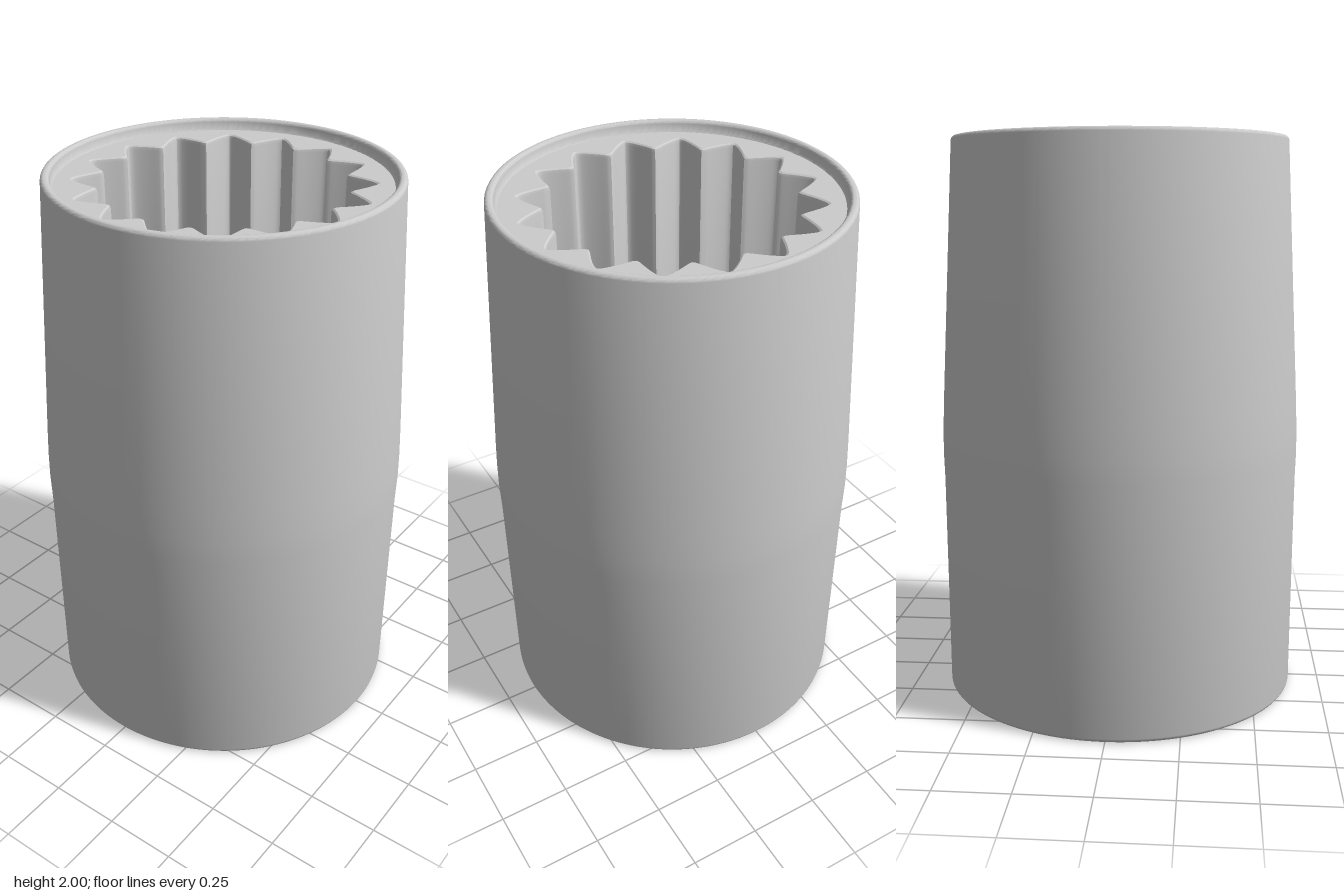
import * as THREE from 'three';
import { toCreasedNormals } from 'three/addons/utils/BufferGeometryUtils.js';

const N = 384; // samples around the axis (24 per spline tooth)
const TEETH = 16;

// cross-section radii as functions of the angle
const circle = (r) => () => r;
const spline = (grow = 0) => (a) => {
  const wave = Math.asin(0.95 * Math.cos(a * TEETH)) / Math.asin(0.95);
  return 0.457 + grow - 0.042 * wave;
};
const square = (half) => (a) => half / Math.max(Math.abs(Math.sin(a)), Math.abs(Math.cos(a)));

// skin a list of rings [radius function, height or height(radius)]
function loft(rings) {
  const pos = [], idx = [];
  for (const [radius, y] of rings) {
    for (let i = 0; i < N; i++) {
      const a = (i / N) * Math.PI * 2;
      const r = radius(a);
      pos.push(r * Math.sin(a), typeof y === 'function' ? y(r) : y, r * Math.cos(a));
    }
  }
  for (let j = 0; j < rings.length - 1; j++) {
    for (let i = 0; i < N; i++) {
      const k = (i + 1) % N;
      const a = j * N + i, b = j * N + k, c = b + N, d = a + N;
      idx.push(a, b, c, a, c, d);
    }
  }
  const g = new THREE.BufferGeometry();
  g.setAttribute('position', new THREE.Float32BufferAttribute(pos, 3));
  g.setIndex(idx);
  return toCreasedNormals(g, 0.62);
}

// quarter-round edge in the profile, from angle t0 to t1
function fillet(cx, cy, rad, t0, t1, steps = 4) {
  const out = [];
  for (let s = 0; s <= steps; s++) {
    const t = t0 + ((t1 - t0) * s) / steps;
    out.push([circle(cx + rad * Math.cos(t)), cy + rad * Math.sin(t)]);
  }
  return out;
}

export function createModel() {
  const group = new THREE.Group();
  const material = new THREE.MeshStandardMaterial({ color: 0xcccccc });
  const add = (name, rings) => {
    const mesh = new THREE.Mesh(loft(rings), material);
    mesh.name = name;
    group.add(mesh);
  };
  const Q = Math.PI / 2;
  const recessY = 1.96, boreFloor = 1.0, driveTop = 0.85;
  const dish = (r) => 0.008 + (0.595 - r) * 0.48; // countersink cone

  // outer wall with rounded bottom and top rims
  add('outerShell', [
    [circle(0.595), 0.008],
    [circle(0.605), 0],
    ...fillet(0.626, 0.015, 0.015, -Q, 0),
    [circle(0.647), 0.78],
    [circle(0.65), 0.88],
    [circle(0.649), 0.96],
    [circle(0.645), 1.06],
    ...fillet(0.584, 1.986, 0.014, 0, Q),
    ...fillet(0.58, 1.988, 0.012, Q, 2 * Q),
    [circle(0.565), recessY + 0.006],
    [circle(0.56), recessY],
  ]);

  // recessed end face around the spline opening
  add('endFace', [
    [circle(0.56), recessY],
    [spline(0.012), recessY],
  ]);

  // toothed bore with softened lip and flat floor
  add('splineBore', [
    [spline(0.012), recessY],
    [spline(0.004), recessY - 0.004],
    [spline(), recessY - 0.014],
    [spline(), boreFloor],
    [circle(0.19), boreFloor],
  ]);

  // hole joining the bore and the drive recess
  add('throughHole', [
    [circle(0.19), boreFloor],
    [circle(0.185), boreFloor - 0.005],
    [circle(0.185), driveTop],
  ]);

  // square drive recess cut into the conical countersink
  add('squareDrive', [
    [circle(0.185), driveTop],
    [square(0.375), driveTop],
    [square(0.375), dish],
  ]);
  add('countersink', [
    [square(0.375), dish],
    [circle(0.595), dish],
  ]);

  return group;
}
